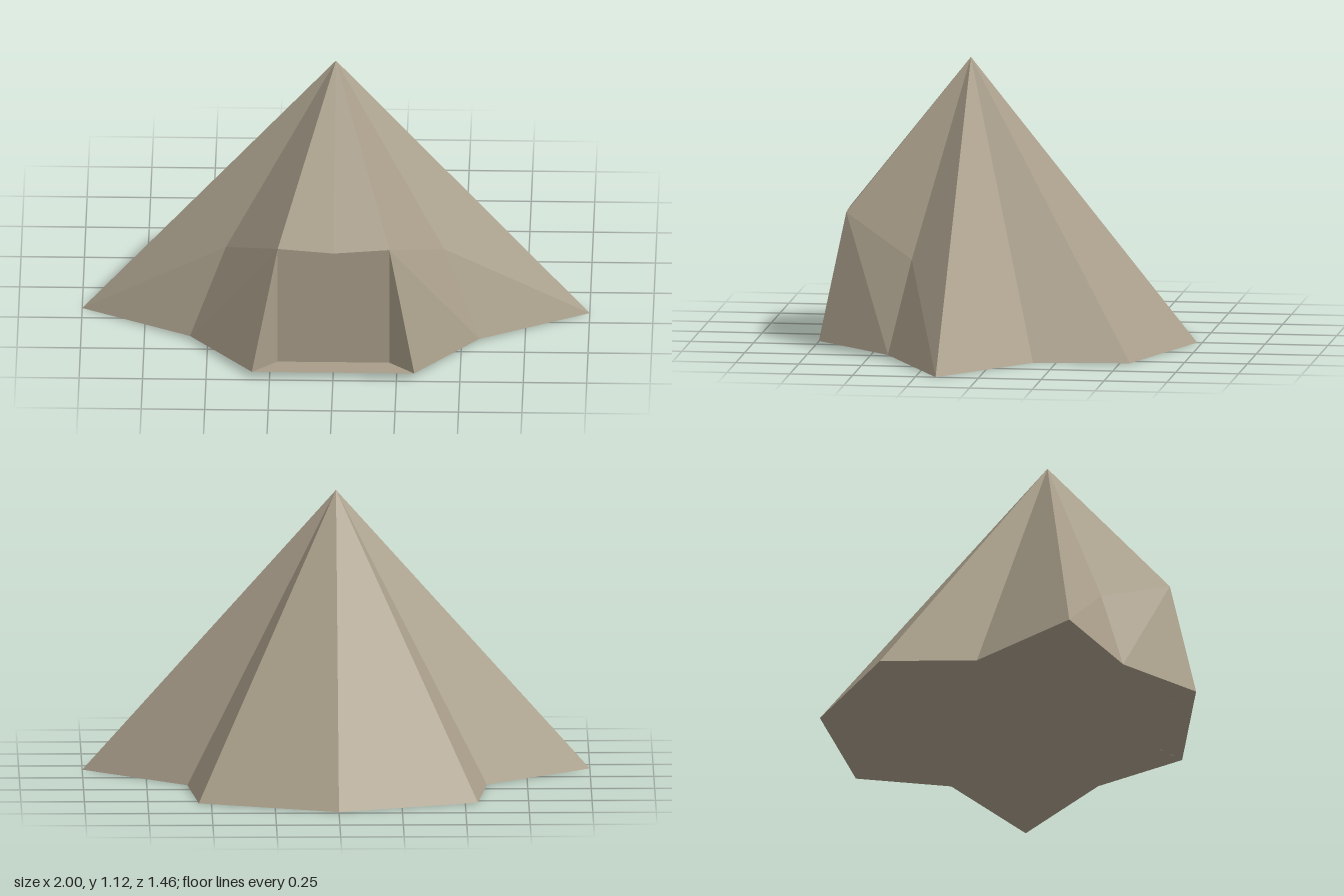
import * as THREE from 'three';

const material = new THREE.MeshStandardMaterial({
  color: 0xa89d89, flatShading: true, side: THREE.DoubleSide,
});

// Key corners; those off the centre line are on the +x side
const apex = [0, 1.12, 0.17];
const lip = [0, 0.515, 0.65];        // middle of the doorway's upper edge
const doorTop = [0.22, 0.525, 0.635];
const doorFoot = [0.22, 0.02, 0.635];
const crease = [0.43, 0.375, 0.345]; // fold in the front cloth
const frontPeg = [0.32, 0.025, 0.73];
const sideFold = [0.57, 0.015, 0.42];
const sidePeg = [1, 0, 0.17];
const rearFold = [0.59, 0, -0.16];
const rearPeg = [0.55, 0, -0.54];
const backPeg = [0, 0, -0.73];
const floorCentre = [0, 0, 0.17];

const mirror = ([x, y, z]) => [-x, y, z];

// Flat-faced mesh from triangles, repeated on the -x side with reversed winding
function mirroredMesh(name, triangles) {
  const all = triangles.flatMap(([a, b, c]) => [a, b, c, mirror(a), mirror(c), mirror(b)]);
  const geometry = new THREE.BufferGeometry();
  geometry.setAttribute('position', new THREE.Float32BufferAttribute(all.flat(), 3));
  geometry.computeVertexNormals();
  const mesh = new THREE.Mesh(geometry, material);
  mesh.name = name;
  return mesh;
}

// Triangles joining one hub to each step along a path
const fan = (hub, path) => path.slice(1).map((p, i) => [hub, path[i], p]);

export function createModel() {
  const tent = new THREE.Group();
  tent.name = 'tent';

  // Sloping cloth round the sides and back
  tent.add(mirroredMesh('rearCanvas', fan(apex, [sidePeg, rearFold, rearPeg, backPeg])));

  // Front cloth, bent at the crease
  tent.add(mirroredMesh('frontCanvas', [
    ...fan(apex, [doorTop, crease, sidePeg]),
    [crease, sideFold, sidePeg],
    [doorTop, frontPeg, sideFold],
    [doorTop, sideFold, crease],
  ]));

  // Canopy over the doorway
  tent.add(mirroredMesh('doorCanopy', [[apex, lip, doorTop]]));

  // Slanted flaps on both sides of the doorway
  tent.add(mirroredMesh('doorFlaps', [[doorTop, doorFoot, frontPeg]]));

  // Upright door panel
  const door = new THREE.Mesh(new THREE.PlaneGeometry(0.44, 0.505), material);
  door.name = 'door';
  door.position.set(0, 0.2725, 0.635);
  tent.add(door);

  // Ground sheet, slightly raised at the front
  const frontMiddle = [0, frontPeg[1], frontPeg[2]];
  tent.add(mirroredMesh('groundSheet', fan(floorCentre,
    [backPeg, rearPeg, rearFold, sidePeg, sideFold, frontPeg, frontMiddle])));

  return tent;
}
